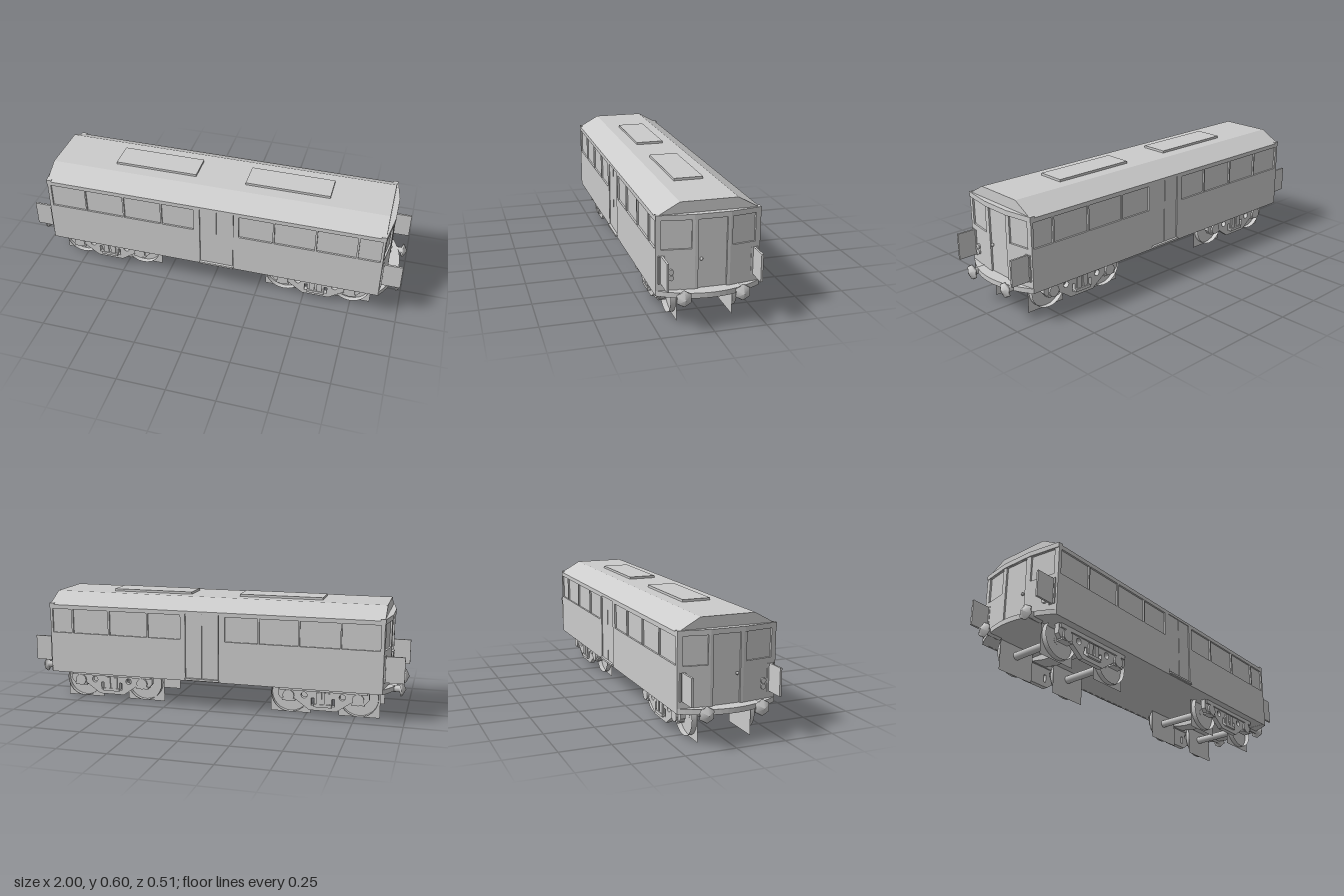
import * as THREE from 'three';

const grey = new THREE.MeshStandardMaterial({ color: 0xcccccc, side: THREE.DoubleSide, flatShading: true });
const smooth = new THREE.MeshStandardMaterial({ color: 0xcccccc, side: THREE.DoubleSide });
const L = 0.893, W = 0.245, FLOOR = 0.155, EAVE = 0.525;

function add(parent, name, geometry, x = 0, y = 0, z = 0, material = grey) {
  const mesh = new THREE.Mesh(geometry, material);
  mesh.name = name;
  mesh.position.set(x, y, z);
  parent.add(mesh);
  return mesh;
}

// Box given by its limits on each axis
function box(parent, name, x0, x1, y0, y1, z0, z1) {
  return add(parent, name, new THREE.BoxGeometry(x1 - x0, y1 - y0, z1 - z0),
    (x0 + x1) / 2, (y0 + y1) / 2, (z0 + z1) / 2);
}

function rectPath(u0, u1, y0, y1) {
  return new THREE.Path([[u0, y0], [u0, y1], [u1, y1], [u1, y0]].map(p => new THREE.Vector2(...p)));
}

// Upright wall sheet from plan point P to Q (x, z) with rectangular openings
function wall(parent, name, P, Q, holes) {
  const dx = Q[0] - P[0], dz = Q[1] - P[1], len = Math.hypot(dx, dz), d = 0.009;
  const shape = new THREE.Shape([[0, FLOOR], [len, FLOOR], [len, EAVE], [0, EAVE]].map(p => new THREE.Vector2(...p)));
  holes.forEach(h => shape.holes.push(rectPath(...h)));
  const geo = new THREE.ExtrudeGeometry(shape, { depth: d, bevelEnabled: false });
  geo.translate(0, 0, -d);
  add(parent, name, geo, P[0], 0, P[1]).rotation.y = Math.atan2(-dz, dx);
}

// Horizontal slab from a plan shape drawn in (x, -z)
function slab(parent, name, shape, y0, y1) {
  const geo = new THREE.ExtrudeGeometry(shape, { depth: y1 - y0, bevelEnabled: false, curveSegments: 16 });
  geo.rotateX(-Math.PI / 2);
  return add(parent, name, geo, 0, y0, 0);
}

function buildBody() {
  const body = new THREE.Group();
  body.name = 'body';
  // Inner core forms the recessed panes and doors
  const half = [[0.884, 0.236], [0.908, 0.07], [0.908, -0.095], [0.884, -0.236]];
  const plan = [...half, ...half.map(([x, z]) => [-x, z]).reverse()];
  slab(body, 'innerCore', new THREE.Shape(plan.map(([x, z]) => new THREE.Vector2(x, -z))), FLOOR + 0.001, EAVE - 0.002);

  // Side walls with windows and door opening
  const windows = [[-0.875, -0.685], [-0.678, -0.475], [-0.466, -0.267], [-0.258, -0.085],
    [0.155, 0.333], [0.342, 0.55], [0.56, 0.76], [0.77, 0.88]].map(w => [...w, 0.374, 0.503]);
  const openings = [...windows, [-0.053, 0.128, 0.168, 0.517]];
  wall(body, 'frontWall', [-L, W], [L, W], openings.map(([a, b, c, d]) => [a + L, b + L, c, d]));
  wall(body, 'backWall', [L, -W], [-L, -W], openings.map(([a, b, c, d]) => [L - b, L - a, c, d]));
  for (const s of [-1, 1]) {
    for (const [a, b] of [[-0.05, 0.036], [0.039, 0.125]])
      box(body, 'sideDoorLeaf', a, b, 0.168, 0.515, s * 0.238 - 0.003, s * 0.238 + 0.003);
    box(body, 'doorStep', -0.056, 0.13, 0.16, 0.17, s * 0.245 - 0.01, s * 0.245 + 0.01);
  }

  // Roof with sloped sides and two hatches
  const roof = new THREE.Shape([[-W, 0.51], [W, 0.51], [W, EAVE], [0.135, 0.586], [-0.135, 0.586], [-W, EAVE]]
    .map(p => new THREE.Vector2(...p)));
  const roofGeo = new THREE.ExtrudeGeometry(roof, { depth: 2 * L, bevelEnabled: false });
  roofGeo.translate(0, 0, -L).rotateY(Math.PI / 2);
  add(body, 'roof', roofGeo);
  for (const x of [-0.56, 0.145]) box(body, 'roofHatch', x, x + 0.44, 0.58, 0.598, -0.072, 0.072);
  return body;
}

function buildEnd() {
  const end = new THREE.Group();
  end.name = 'carEnd';
  // Three-sided end wall: window, door, window
  const A = [L, W], B = [0.917, 0.07], C = [0.917, -0.095], D = [L, -W];
  wall(end, 'endWindowWall', A, B, [[0.025, 0.161, 0.372, 0.507]]);
  wall(end, 'endDoorWall', B, C, [[0.015, 0.15, 0.18, 0.507]]);
  wall(end, 'endWindowWall', C, D, [[0.01, 0.126, 0.372, 0.507]]);
  const v2 = (x, z) => new THREE.Vector2(x, -z);
  slab(end, 'visor', new THREE.Shape([v2(0.87, W), v2(0.896, W), v2(0.921, 0.075), v2(0.921, -0.095),
    v2(0.896, -W), v2(0.87, -W)]), 0.508, 0.533);

  // Bowed footplate
  const plate = new THREE.Shape();
  plate.moveTo(0.87, -W);
  plate.lineTo(L, -W);
  plate.quadraticCurveTo(1.05, 0, L, W);
  plate.lineTo(0.87, W);
  slab(end, 'footplate', plate, FLOOR, 0.18);

  // Door knob and lamps
  add(end, 'doorKnob', new THREE.SphereGeometry(0.008, 12, 8), 0.915, 0.32, 0.04, smooth);
  for (const y of [0.24, 0.268]) {
    const lamp = new THREE.CylinderGeometry(0.013, 0.013, 0.016, 16).rotateZ(Math.PI / 2);
    add(end, 'lamp', lamp, 0.904, y, 0.178);
  }

  // Bumper: shaft with a pointed six-sided head
  const profile = [[0.018, 0.88], [0.018, 0.968], [0.04, 0.974], [0.036, 0.983], [0, 1]]
    .map(p => new THREE.Vector2(...p));
  for (const s of [-1, 1]) {
    const geo = new THREE.LatheGeometry(profile, 6).rotateY(Math.PI / 2).rotateZ(-Math.PI / 2);
    add(end, 'bumper', geo, 0, 0.165, s * 0.137, smooth);
    // Corner gate panel between two slim strips
    box(end, 'gatePanel', 0.885, 0.995, 0.212, 0.345, s * 0.217 - 0.005, s * 0.217 + 0.005);
    for (const z of [0.231, 0.205])
      box(end, 'gateStrip', 0.885, 0.902, 0.212, 0.345, s * z - 0.004, s * z + 0.004);
  }
  return end;
}

// Side frame plate in (x, y) with openings
function frameGeometry() {
  const half = [[0.233, 0.156], [0.233, 0.105], [0.215, 0.085], [0.14, 0.085], [0.105, 0.06], [0.07, 0.035]];
  const outline = [...half, ...half.map(([x, y]) => [-x, y]).reverse()];
  const shape = new THREE.Shape(outline.map(p => new THREE.Vector2(...p)));
  for (const s of [-1, 1]) {
    const hole = new THREE.Path();
    hole.absarc(s * 0.098, 0.112, 0.016, 0, Math.PI * 2, true);
    shape.holes.push(hole);
    shape.holes.push(s < 0 ? rectPath(-0.06, -0.045, 0.06, 0.1) : rectPath(0.045, 0.06, 0.06, 0.1));
  }
  const geo = new THREE.ExtrudeGeometry(shape, { depth: 0.026, bevelEnabled: false, curveSegments: 8 });
  return geo.translate(0, 0, -0.013);
}

function buildBogie() {
  const bogie = new THREE.Group();
  bogie.name = 'bogie';
  const frame = frameGeometry();
  for (const s of [-1, 1]) {
    add(bogie, 'sideFrame', frame, 0, 0, s * 0.184);
    box(bogie, 'frameRail', -0.225, 0.225, 0.135, 0.156, s * 0.185 - 0.02, s * 0.185 + 0.02);
    // Spring nest in the middle of the frame
    box(bogie, 'springSeat', -0.045, 0.045, 0.055, 0.07, s * 0.19 - 0.018, s * 0.19 + 0.018);
    for (const x of [-0.02, 0.02])
      box(bogie, 'spring', x - 0.014, x + 0.014, 0.07, 0.13, s * 0.19 - 0.014, s * 0.19 + 0.014);
    for (const x of [-0.178, 0.178]) {
      const hub = new THREE.CylinderGeometry(0.03, 0.03, 0.04, 12).rotateX(Math.PI / 2);
      add(bogie, 'axleBox', hub, x, 0.107, s * 0.187);
      box(bogie, 'axleBoxArm', x - 0.034, x + 0.034, 0.078, 0.092, s * 0.184 - 0.018, s * 0.184 + 0.018);
      // Flat wheel face with a curved tread band
      add(bogie, 'wheelFace', new THREE.PlaneGeometry(0.21, 0.21), x, 0.105, s * 0.134);
      const tread = new THREE.CylinderGeometry(0.098, 0.098, 0.026, 24, 1, true).rotateX(Math.PI / 2);
      add(bogie, 'wheelTread', tread, x, 0.105, s * 0.147, smooth);
    }
  }
  for (const x of [-0.178, 0.178]) {
    const axle = new THREE.CylinderGeometry(0.02, 0.02, 0.27, 16).rotateX(Math.PI / 2);
    add(bogie, 'axle', axle, x, 0.105, 0, smooth);
  }
  // Tapered cross bolster
  const bolster = new THREE.Shape([[-0.175, 0.156], [-0.175, 0.14], [-0.085, 0.123], [0.085, 0.123], [0.175, 0.14], [0.175, 0.156]]
    .map(p => new THREE.Vector2(...p)));
  const geo = new THREE.ExtrudeGeometry(bolster, { depth: 0.09, bevelEnabled: false });
  add(bogie, 'bolster', geo.translate(0, 0, -0.045).rotateY(Math.PI / 2));
  return bogie;
}

export function createModel() {
  const model = new THREE.Group();
  model.name = 'railCar';
  model.add(buildBody());
  for (const s of [-1, 1]) {
    const end = buildEnd();
    end.scale.x = s;
    model.add(end);
  }
  for (const x of [-0.592, 0.567]) {
    const bogie = buildBogie();
    bogie.position.x = x;
    model.add(bogie);
  }
  return model;
}
